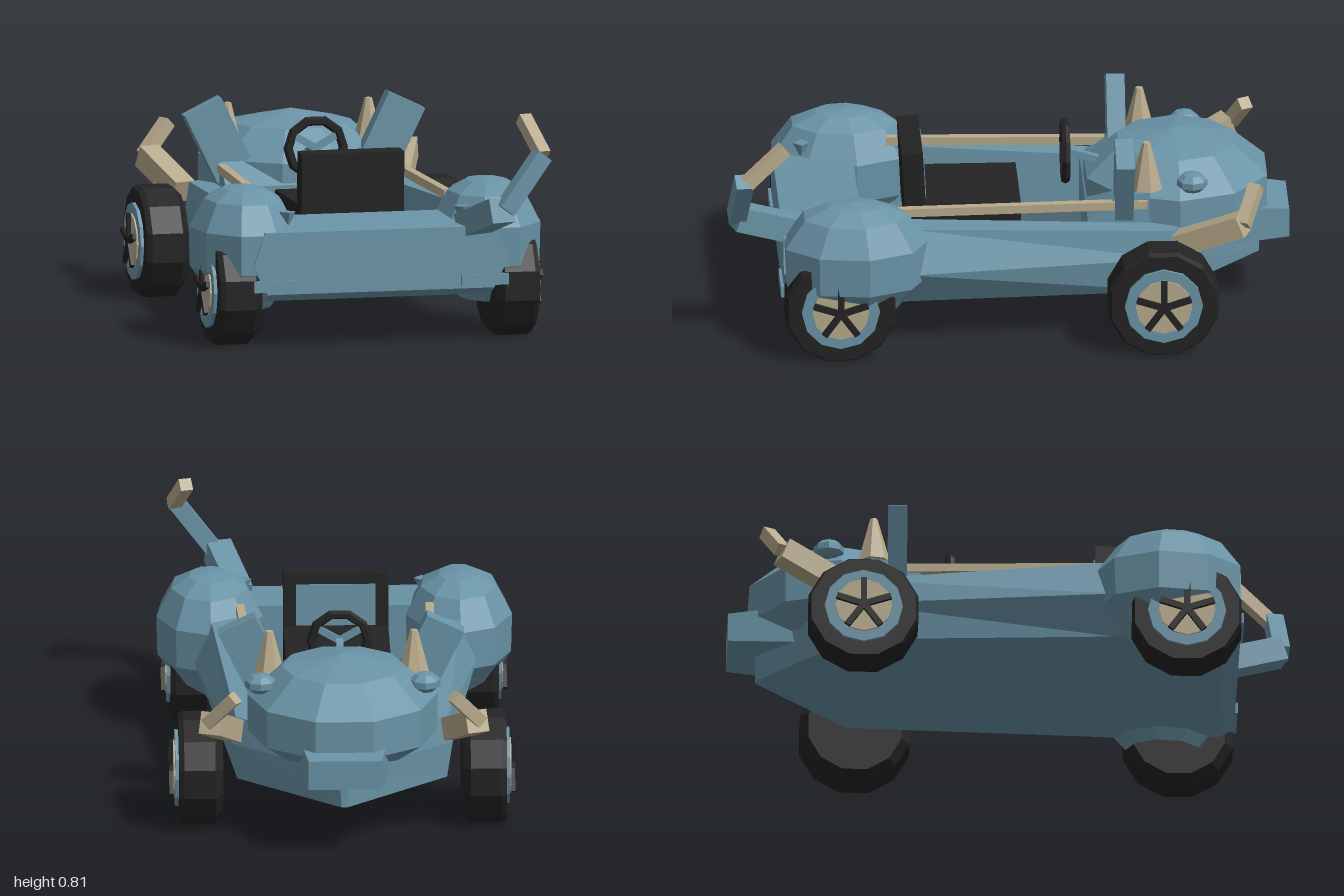
import * as THREE from 'three';

const paint = (name, color) => {
  const m = new THREE.MeshStandardMaterial({ color });
  m.name = name;
  return m;
};

export function createModel() {
  const model = new THREE.Group();
  model.name = 'buggy';
  const blue = paint('body blue', 0x6a94a7);
  const slate = paint('cockpit slate', 0x4a626f);
  const tan = paint('tan trim', 0xb8aa8c);
  const black = paint('black rubber', 0x232323);

  // Faceted normals for every part
  const flat = (g) => {
    const f = g.index ? g.toNonIndexed() : g;
    f.computeVertexNormals();
    return f;
  };
  const add = (name, geo, mat, x = 0, y = 0, z = 0, parent = model) => {
    const m = new THREE.Mesh(flat(geo), mat);
    m.name = name;
    m.position.set(x, y, z);
    parent.add(m);
    return m;
  };
  const box = (name, mat, w, h, d, x, y, z, parent) =>
    add(name, new THREE.BoxGeometry(w, h, d), mat, x, y, z, parent);

  // Square bar between two points
  const bar = (name, mat, a, b, w, h) => {
    const p = new THREE.Vector3(...a), q = new THREE.Vector3(...b);
    const m = box(name, mat, w, h, p.distanceTo(q), 0, 0, 0);
    m.position.copy(p).add(q).multiplyScalar(0.5);
    m.lookAt(q);
    return m;
  };

  // Skin over cross-sections [z, ring of [x, y]] that run towards +z
  const loft = (sections, caps) => {
    const v = [];
    const tri = (...ps) => ps.forEach((p) => v.push(...p));
    const rings = sections.map(([z, ring]) => ring.map(([x, y]) => [x, y, z]));
    const n = rings[0].length;
    for (let s = 0; s + 1 < rings.length; s++) {
      const a = rings[s], b = rings[s + 1];
      for (let i = 0; i < n; i++) {
        const j = (i + 1) % n;
        tri(a[i], a[j], b[j]);
        tri(a[i], b[j], b[i]);
      }
    }
    if (caps) {
      const a = rings[0], b = rings[rings.length - 1];
      for (let i = 1; i + 1 < n; i++) {
        tri(a[0], a[i + 1], a[i]);
        tri(b[0], b[i], b[i + 1]);
      }
    }
    const g = new THREE.BufferGeometry();
    g.setAttribute('position', new THREE.Float32BufferAttribute(v, 3));
    return g;
  };
  const lathe = (pts, sides) => {
    const g = new THREE.LatheGeometry(pts.map((p) => new THREE.Vector2(...p)), sides);
    return g.rotateY(Math.PI / sides);
  };

  // Hull: bottom, sill and top half-widths, then top height
  const solid = (b, s, t, y, y0 = 0.17) => [[-b, y0], [b, y0], [s, 0.3], [t, y], [-t, y], [-s, 0.3]];
  const tub = (b, s, t, y, i, f) => [[-b, 0.17], [b, 0.17], [s, 0.3], [t, y], [i, y], [f, 0.23],
    [-f, 0.23], [-i, y], [-t, y], [-s, 0.3]];
  add('bow', loft([[-0.9, solid(0.01, 0.02, 0.01, 0.38)], [-0.57, solid(0.37, 0.39, 0.375, 0.4)]], true), blue);
  add('tub', loft([[-0.57, tub(0.37, 0.39, 0.375, 0.4, 0.3, 0.29)], [0.35, tub(0.42, 0.5, 0.44, 0.45, 0.34, 0.33)],
    [0.52, tub(0.42, 0.48, 0.43, 0.44, 0.34, 0.33)]], false), blue);
  add('rearDeck', loft([[0.52, solid(0.42, 0.48, 0.43, 0.44)], [0.74, solid(0.41, 0.46, 0.42, 0.425)],
    [0.8, solid(0.41, 0.46, 0.42, 0.42, 0.2)]], true), blue);
  box('cockpitFloor', slate, 0.6, 0.008, 0.8, 0, 0.236, 0.11);

  // Dome, snout and dashboard
  const dome = lathe([[0, 0.28], [0.22, 0.28], [0.335, 0.36], [0.335, 0.495], [0.215, 0.6], [0, 0.645]], 10);
  add('dome', dome, blue, 0, 0, -0.605);
  add('snout', loft([[-1, [[-0.13, 0.27], [0.13, 0.27], [0.13, 0.375], [-0.13, 0.375]]],
    [-0.7, [[-0.17, 0.25], [0.17, 0.25], [0.17, 0.4], [-0.17, 0.4]]]], true), blue);
  add('dashboard', loft([[-0.5, [[-0.3, 0.22], [0.3, 0.22], [0.3, 0.52], [-0.3, 0.52]]],
    [-0.38, [[-0.31, 0.22], [0.31, 0.22], [0.31, 0.5], [-0.31, 0.5]]],
    [-0.28, [[-0.31, 0.22], [0.31, 0.22], [0.31, 0.42], [-0.31, 0.42]]]], true), blue);

  // Seat
  box('seatCushion', black, 0.37, 0.21, 0.4, 0, 0.338, 0.15);
  const back = box('seatBack', black, 0.37, 0.3, 0.075, 0, 0.48, 0.325);
  back.rotation.x = 0.05;
  box('seatBackPad', blue, 0.28, 0.15, 0.02, 0, 0.04, -0.032, back);

  // Steering wheel
  const steering = new THREE.Group();
  steering.name = 'steeringWheel';
  steering.position.set(0, 0.56, -0.215);
  model.add(steering);
  add('steeringRim', new THREE.TorusGeometry(0.1, 0.017, 6, 10), black, 0, 0, 0, steering);
  for (let i = 0; i < 3; i++) {
    const a = Math.PI / 6 + (i * Math.PI * 2) / 3;
    box('steeringSpoke', blue, 0.1, 0.025, 0.012, Math.cos(a) * 0.05, Math.sin(a) * 0.05, 0, steering).rotation.z = a;
  }
  bar('steeringColumn', blue, [0, 0.56, -0.22], [0, 0.5, -0.42], 0.025, 0.025);

  // Wheel facing +x, mirrored by a half turn
  const wheel = (x, z) => {
    const g = new THREE.Group();
    g.name = 'wheel';
    g.position.set(x, 0.2, z);
    if (x < 0) g.rotation.y = Math.PI;
    model.add(g);
    const disc = (name, mat, r, w, px) =>
      add(name, new THREE.CylinderGeometry(r, r, w, 12).rotateZ(-Math.PI / 2), mat, px, 0, 0, g);
    const tyre = lathe([[0, -0.078], [0.17, -0.078], [0.2, -0.05], [0.2, 0.06], [0.19, 0.078], [0, 0.078]], 12);
    add('tyre', tyre.rotateZ(-Math.PI / 2), black, 0, 0, 0, g);
    disc('rim', blue, 0.138, 0.03, 0.075);
    disc('hubFace', tan, 0.1, 0.008, 0.092);
    for (let i = 0; i < 5; i++) {
      const a = Math.PI / 2 + (i * Math.PI * 2) / 5;
      const s = box('wheelSpoke', black, 0.014, 0.1, 0.022, 0.103, Math.sin(a) * 0.05, Math.cos(a) * 0.05, g);
      s.rotation.x = Math.PI / 2 - a;
    }
  };

  for (const s of [1, -1]) {
    wheel(s * 0.5, 0.605);
    wheel(s * 0.5, -0.535);

    // Bulbous fender, hollow below
    const fender = lathe([[0.5, 0.13], [0.8, 0.22], [0.98, 0.27], [1, 0.41], [0.72, 0.51], [0.38, 0.548], [0, 0.56]], 9);
    fender.scale(0.19, 1, 0.262);
    add('fender', fender, blue, s * 0.44, 0, 0.55);
    box('fenderTab', blue, 0.17, 0.04, 0.08, s * 0.375, 0.23, 0.77);
    add('fenderStud', new THREE.ConeGeometry(0.03, 0.06, 4), blue, s * 0.315, 0.45, 0.7).rotation.x = Math.PI;

    // Side rails and tilted mirrors
    bar('rail', tan, [s * 0.335, 0.475, 0.4], [s * 0.3, 0.475, -0.49], 0.03, 0.03);
    box('mirror', blue, 0.145, 0.27, 0.065, s * 0.31, 0.572, -0.408).rotation.z = -s * 0.45;

    // Spikes and lamps on the dome
    add('spike', new THREE.CylinderGeometry(0.014, 0.06, 0.17, 7), tan, s * 0.255, 0.605, -0.49);
    add('lamp', new THREE.SphereGeometry(0.057, 8, 5).scale(1, 0.65, 1), blue, s * 0.29, 0.55, -0.65);

    // Bent exhausts
    bar('exhaustPipe', tan, [s * 0.39, 0.36, -0.6], [s * 0.47, 0.46, -0.82], 0.08, 0.08);
    bar('exhaustTip', tan, [s * 0.48, 0.46, -0.82], [s * 0.385, 0.57, -0.87], 0.045, 0.045);
  }

  // Jointed arm on the left fender
  bar('armBase', blue, [0.33, 0.41, 0.72], [0.4, 0.5, 0.965], 0.09, 0.09);
  bar('armMiddle', blue, [0.41, 0.5, 0.965], [0.55, 0.69, 0.945], 0.06, 0.06);
  bar('armTip', tan, [0.555, 0.685, 0.935], [0.515, 0.8, 0.8], 0.045, 0.045);

  return model;
}
